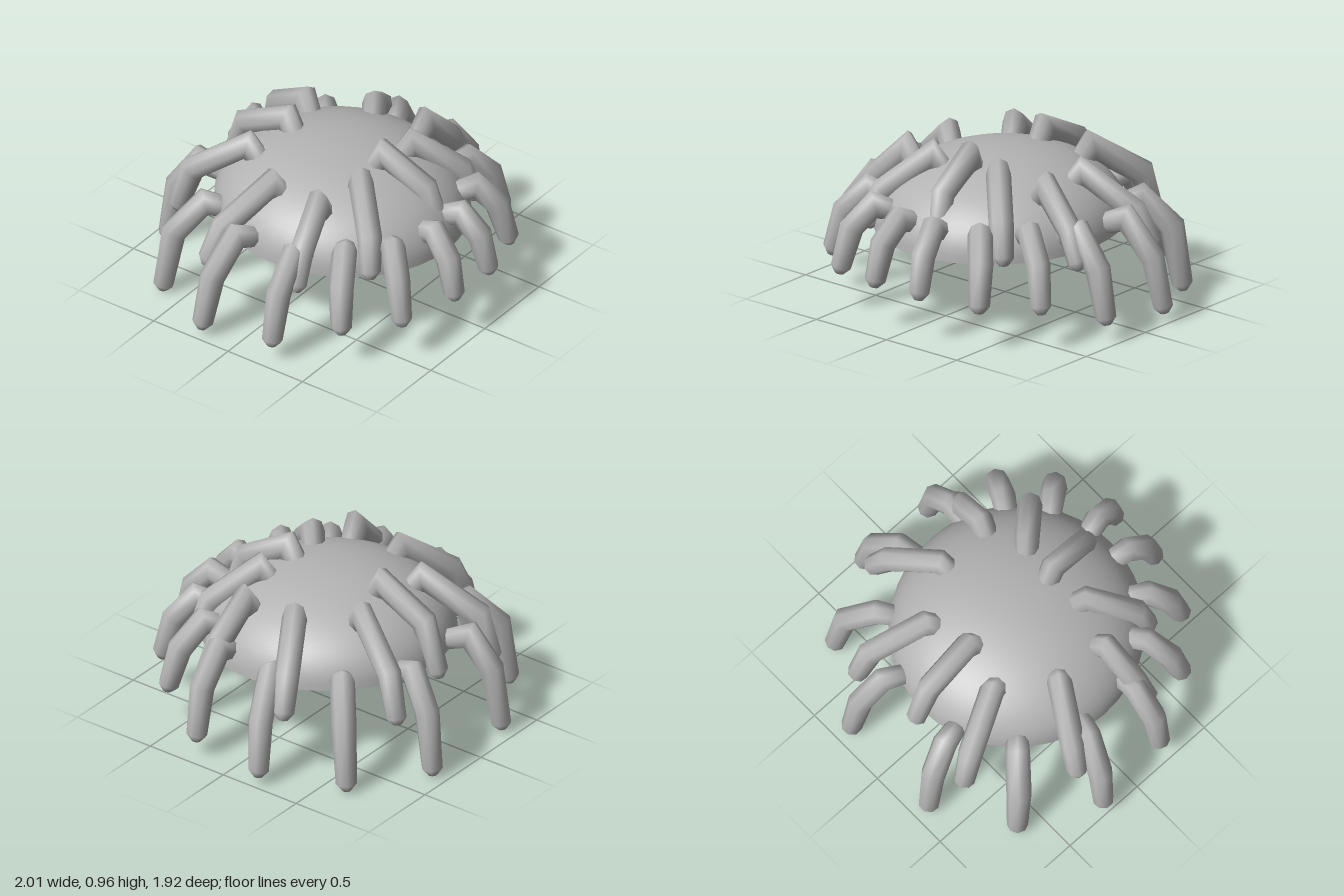
import * as THREE from 'three';
import { toCreasedNormals } from 'three/addons/utils/BufferGeometryUtils.js';

const UP = new THREE.Vector3(0, 1, 0);
const SIDES = 8;

// Elbow, knee and tip of each arm; arms off the centre line are mirrored.
const LOWER_ARMS = [
  [[0.25, 0.56, -0.73], [0.29, 0.37, -0.855], [0.31, 0.0, -0.91]],
  [[0.56, 0.55, -0.48], [0.69, 0.38, -0.59], [0.73, 0.0, -0.64]],
  [[0.75, 0.57, -0.13], [0.9, 0.36, -0.18], [0.96, 0.04, -0.21]],
  [[0.73, 0.58, 0.24], [0.87, 0.4, 0.245], [0.93, 0.09, 0.24]],
  [[0.57, 0.6, 0.47], [0.69, 0.46, 0.535], [0.75, 0.2, 0.58]],
  [[0.38, 0.6, 0.66], [0.46, 0.47, 0.75], [0.5, 0.21, 0.81]],
  [[0.12, 0.6, 0.75], [0.145, 0.48, 0.86], [0.16, 0.24, 0.92]],
];
const UPPER_ARMS = [
  [[0.24, 0.83, 0.34], [0.42, 0.64, 0.53], [0.485, 0.42, 0.585]],
  [[0.5, 0.78, 0.24], [0.69, 0.59, 0.27], [0.79, 0.39, 0.3]],
  [[0.48, 0.78, -0.09], [0.73, 0.58, -0.23], [0.83, 0.36, -0.28]],
  [[0.27, 0.8, -0.4], [0.4, 0.6, -0.68], [0.43, 0.32, -0.76]],
];
const CENTRE_ARMS = [
  [[0.01, 0.87, 0.32], [0.04, 0.73, 0.57], [0.08, 0.42, 0.67]],
  [[0, 0.86, -0.33], [0, 0.72, -0.61], [0, 0.4, -0.72]],
];

// Mitred, slightly tapered tube with blunt ends, rooted inside the shell.
function armGeometry(points, mirror, rootRise, rootLength) {
  const [elbow, knee, tip] = points.map(([x, y, z]) => new THREE.Vector3(x * mirror, y, z));
  const heading = tip.clone().sub(elbow).setY(0).normalize();
  const side = heading.clone().cross(UP);
  const rootDir = heading.clone().multiplyScalar(Math.cos(rootRise)).addScaledVector(UP, Math.sin(rootRise));
  const root = elbow.clone().addScaledVector(rootDir, -rootLength);
  const upperDir = knee.clone().sub(elbow).normalize();
  const lowerDir = tip.clone().sub(knee).normalize();

  const sections = [];
  const section = (point, offset, dirIn, dirOut, radius) => {
    const tangent = dirIn.clone().add(dirOut).normalize();
    const normal = side.clone().cross(tangent).normalize();
    sections.push({
      centre: point.clone().addScaledVector(dirIn, offset),
      normal,
      radius,
      mitre: 1 / tangent.dot(dirIn),
    });
  };
  section(root, 0, rootDir, rootDir, 0);
  section(root, 0.005, rootDir, rootDir, 0.03);
  section(root, 0.045, rootDir, rootDir, 0.06);
  section(elbow, 0, rootDir, upperDir, 0.069);
  section(knee, 0, upperDir, lowerDir, 0.069);
  section(tip, -0.045, lowerDir, lowerDir, 0.058);
  section(tip, -0.005, lowerDir, lowerDir, 0.024);
  section(tip, 0, lowerDir, lowerDir, 0);

  const positions = [];
  const indices = [];
  sections.forEach(({ centre, normal, radius, mitre }, i) => {
    for (let j = 0; j < SIDES; j++) {
      const angle = (j / SIDES) * Math.PI * 2;
      const p = centre.clone()
        .addScaledVector(side, Math.cos(angle) * radius)
        .addScaledVector(normal, Math.sin(angle) * radius * mitre);
      positions.push(p.x, p.y, p.z);
      if (i === sections.length - 1) continue;
      const a = i * SIDES + j;
      const b = i * SIDES + ((j + 1) % SIDES);
      const c = a + SIDES;
      const d = b + SIDES;
      if (i > 0) indices.push(a, c, b);
      if (i < sections.length - 2) indices.push(b, c, d);
    }
  });
  const geometry = new THREE.BufferGeometry();
  geometry.setAttribute('position', new THREE.Float32BufferAttribute(positions, 3));
  geometry.setIndex(indices);
  geometry.computeVertexNormals();
  return geometry;
}

// Hollow, slightly full half-ellipsoid with a narrow flat rim.
function shellGeometry() {
  const steps = 16;
  const profile = [];
  const addPoint = (i, radius, height) => {
    const a = (i / steps) * Math.PI / 2;
    const r = i === 0 ? 0 : Math.sin(a) ** 0.95;
    const y = i === steps ? 0 : Math.cos(a) ** 0.95;
    profile.push(new THREE.Vector2(radius * r, height * y));
  };
  for (let i = 0; i <= steps; i++) addPoint(i, 0.665, 0.372);
  for (let i = steps; i >= 0; i--) addPoint(i, 0.69, 0.398);
  return toCreasedNormals(new THREE.LatheGeometry(profile, 40), 0.8);
}

export function createModel() {
  const model = new THREE.Group();
  model.name = 'domeWithArms';
  const grey = new THREE.MeshStandardMaterial({ color: 0xb3b3b3 });
  grey.name = 'grey';

  // Shell, tipped slightly towards the front
  const shell = new THREE.Mesh(shellGeometry(), grey);
  shell.name = 'shell';
  shell.position.set(0, 0.442, 0.04);
  shell.rotation.x = 0.037;
  shell.scale.z = 1.025;
  model.add(shell);

  // Arms
  const addArms = (name, arms, mirrors, rootRise, rootLength) => {
    const group = new THREE.Group();
    group.name = name;
    for (const points of arms) {
      for (const mirror of mirrors) {
        const arm = new THREE.Mesh(armGeometry(points, mirror, rootRise, rootLength), grey);
        arm.name = 'arm';
        group.add(arm);
      }
    }
    model.add(group);
  };
  addArms('lowerArms', LOWER_ARMS, [1, -1], 0.38, 0.17);
  addArms('upperArms', UPPER_ARMS, [1, -1], Math.PI / 3.4, 0.22);
  addArms('centreArms', CENTRE_ARMS, [1], Math.PI / 3, 0.25);

  return model;
}
